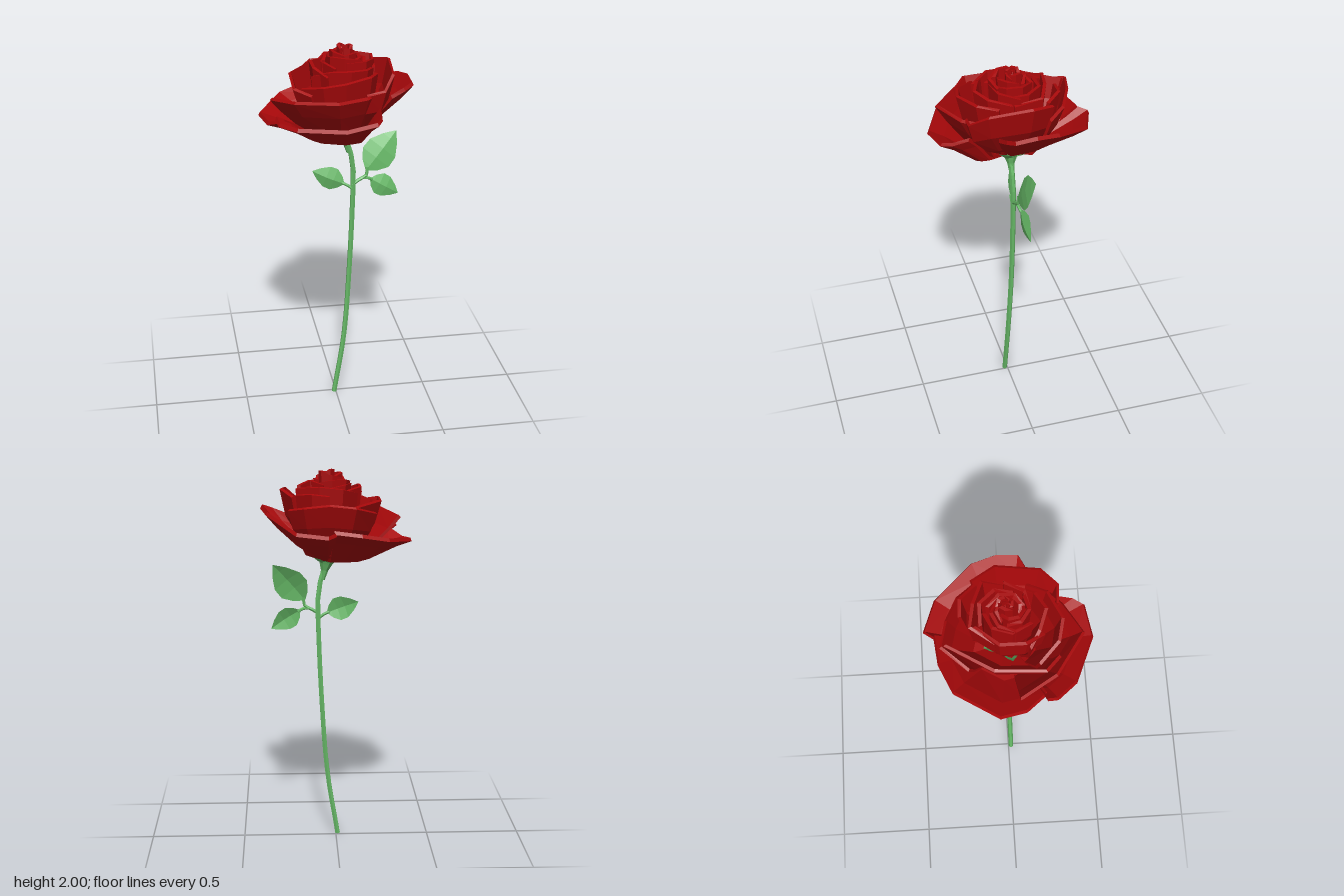
import * as THREE from 'three';

const red = new THREE.MeshStandardMaterial({ color: 0xa8080a, flatShading: true, side: THREE.DoubleSide });
const green = new THREE.MeshStandardMaterial({ color: 0x66b866, flatShading: true, side: THREE.DoubleSide });
const V = (x, y, z) => new THREE.Vector3(x, y, z);
const heart = V(0.05, 1.52, 0); // where all petals meet

function meshFrom(name, points, index, material) {
  const g = new THREE.BufferGeometry().setFromPoints(points);
  g.setIndex(index);
  g.computeVertexNormals();
  const m = new THREE.Mesh(g, material);
  m.name = name;
  return m;
}

// Thick petal: each rim point is joined to the heart by a bowed rib, ribs are skinned into a shell.
// open = 1 lies flat with a rolled rim, open = 0 stands upright like a cup; lift raises the belly.
function petal(name, rim, open, lift = 0.12) {
  const turn = rim.slice(1).reduce((s, p, i) =>
    s + (rim[i][0] - heart.x) * p[2] - rim[i][2] * (p[0] - heart.x), 0);
  const ordered = turn < 0 ? [...rim].reverse() : rim;
  const mix = THREE.MathUtils.lerp;
  const out = [0.08, mix(0.6, 0.5, open), mix(0.92, 0.82, open), 1];
  const up = [0, mix(0.2, lift, open), mix(0.58, 0.74, open), 1];
  const points = [], index = [], n = 8;
  for (const [x, y, z] of ordered) {
    const dx = x - heart.x, dy = y - heart.y, r = Math.hypot(dx, z);
    const thin = 1 - Math.min(0.4, 0.018 * (1 - 0.5 * open) / r);
    const outer = out.map((f, k) => V(heart.x + dx * f, heart.y + dy * up[k], z * f));
    const inner = out.map((f, k) => V(heart.x + dx * f * thin, heart.y + dy * up[k] + 0.018 * open, z * f * thin));
    points.push(...outer, ...inner.reverse());
  }
  const quad = (a, b, c, d) => index.push(a, b, c, a, c, d);
  for (let i = 0; i < ordered.length - 1; i++)
    for (let j = 0; j < n; j++) {
      const k = (j + 1) % n;
      quad(i * n + j, i * n + k, i * n + n + k, i * n + n + j);
    }
  const last = (ordered.length - 1) * n;
  for (let j = 0; j < 3; j++) {
    quad(7 - j, 6 - j, j + 1, j);
    quad(last + j, last + j + 1, last + 6 - j, last + 7 - j);
  }
  return meshFrom(name, points, index, red);
}

// Leaf: pointed oval from base to tip, folded along its midrib
function leaf(name, base, tip, width, normal) {
  const along = tip.clone().sub(base);
  const side = along.clone().normalize().cross(normal.clone().normalize());
  const points = [], index = [];
  const shape = [[0, 0.08], [0.12, 0.55], [0.32, 0.98], [0.55, 0.95], [0.8, 0.52], [1, 0.02]];
  shape.forEach(([t, w], i) => {
    const mid = base.clone().addScaledVector(along, t);
    mid.addScaledVector(normal, 0.012 * Math.sin(t * Math.PI));
    for (const s of [-1, 0, 1]) {
      const p = mid.clone().addScaledVector(side, s * w * width / 2);
      points.push(s ? p.addScaledVector(normal, -0.016 * w) : p);
    }
    if (i) for (const s of [0, 1]) {
      const a = i * 3 - 3 + s;
      index.push(a, a + 1, a + 4, a, a + 4, a + 3);
    }
  });
  return meshFrom(name, points, index, green);
}

function tube(name, pts, radius, segments) {
  const curve = new THREE.CatmullRomCurve3(pts.map(p => V(...p)));
  const m = new THREE.Mesh(new THREE.TubeGeometry(curve, segments, radius, 6), green);
  m.name = name;
  return m;
}

export function createModel() {
  const model = new THREE.Group();
  model.name = 'rose';

  // Stem with a closed foot
  model.add(tube('stem', [[-0.01, 0, 0.015], [0.045, 0.35, 0.01], [0.075, 0.75, 0], [0.092, 1.15, -0.003],
    [0.094, 1.33, -0.003], [0.075, 1.44, 0], [0.055, 1.5, 0]], 0.014, 16));
  const foot = new THREE.Mesh(new THREE.CircleGeometry(0.014, 6), green);
  foot.name = 'stemFoot';
  foot.rotation.x = Math.PI / 2;
  foot.position.set(-0.01, 0.001, 0.015);
  model.add(foot);

  // Flared cup under the bloom
  const cup = new THREE.Mesh(new THREE.LatheGeometry(
    [[0.012, -0.1], [0.02, -0.05], [0.034, -0.015], [0.045, 0.008], [0, 0.01]].map(p => new THREE.Vector2(...p)), 7), green);
  cup.name = 'receptacle';
  cup.position.copy(heart);
  cup.rotation.z = 0.2;
  model.add(cup);

  // Sepals spreading below the petals
  for (let i = 0; i < 5; i++) {
    const a = i * Math.PI * 0.4 + 0.5, c = Math.cos(a), s = Math.sin(a);
    model.add(leaf('sepal', V(heart.x + 0.022 * c, 1.508, 0.022 * s),
      V(heart.x + 0.135 * c, 1.595, 0.135 * s), 0.085, V(0.5 * c, -0.8, 0.5 * s)));
  }

  // Leaves and their stalks
  model.add(
    tube('leafStalk', [[0.09, 1.215, 0], [0.065, 1.235, -0.003], [0.035, 1.25, -0.006]], 0.008, 4),
    tube('leafStalk', [[0.09, 1.24, 0], [0.13, 1.265, -0.005], [0.165, 1.285, -0.007], [0.17, 1.33, -0.01]], 0.009, 6),
    tube('leafStalk', [[0.14, 1.272, -0.006], [0.175, 1.268, -0.01], [0.2, 1.255, -0.015]], 0.008, 4),
    leaf('leftLeaf', V(0.045, 1.245, -0.005), V(-0.115, 1.31, -0.045), 0.125, V(-0.28, 0.05, 1)),
    leaf('upperLeaf', V(0.165, 1.315, -0.005), V(0.33, 1.508, -0.05), 0.175, V(-0.05, 0.3, 1)),
    leaf('lowerLeaf', V(0.19, 1.26, -0.015), V(0.34, 1.165, -0.025), 0.12, V(0.1, 0.15, 1)));

  // Wide outer petals
  model.add(
    petal('outerPetalLeft', [[-0.29, 1.66, 0.17], [-0.36, 1.62, 0.07], [-0.39, 1.63, -0.06], [-0.26, 1.66, -0.28],
      [-0.12, 1.69, -0.345], [0.02, 1.71, -0.36]], 1),
    petal('outerPetalRight', [[0.01, 1.7, -0.36], [0.05, 1.69, -0.41], [0.21, 1.7, -0.35], [0.36, 1.78, -0.16], [0.39, 1.8, -0.04],
      [0.39, 1.79, 0.07], [0.34, 1.77, 0.1], [0.27, 1.74, 0.12]], 1, 0.36),
    petal('outerPetalFront', [[-0.33, 1.68, 0.17], [-0.32, 1.66, 0.22], [-0.24, 1.66, 0.315], [-0.01, 1.67, 0.41],
      [0.15, 1.69, 0.38], [0.18, 1.7, 0.33], [0.19, 1.72, 0.25]], 1));

  // Middle petals, half open
  model.add(
    petal('middlePetalFront', [[-0.34, 1.74, 0.04], [-0.24, 1.77, 0.22], [-0.04, 1.8, 0.36], [0.12, 1.79, 0.27],
      [0.19, 1.8, 0.2]], 0.7),
    petal('middlePetalRight', [[0.12, 1.8, 0.25], [0.21, 1.82, 0.255], [0.27, 1.88, 0.17], [0.29, 1.9, -0.05],
      [0.23, 1.87, -0.17]], 0.4, 0.45),
    petal('middlePetalBack', [[0.25, 1.8, -0.15], [0.17, 1.82, -0.24], [0.04, 1.84, -0.3], [-0.09, 1.83, -0.33],
      [-0.2, 1.79, -0.2]], 0.5),
    petal('middlePetalLeft', [[-0.08, 1.83, -0.31], [-0.23, 1.84, -0.08], [-0.24, 1.83, 0.17], [-0.16, 1.81, 0.24]], 0.4),
    petal('middlePetalInnerFront', [[-0.2, 1.82, 0.14], [-0.1, 1.85, 0.24], [0.01, 1.87, 0.265], [0.15, 1.88, 0.2],
      [0.2, 1.87, 0.1]], 0.3));

  // Upright inner petals
  model.add(
    petal('innerPetalOuterBack', [[0.04, 1.88, -0.235], [0.13, 1.89, -0.23], [0.21, 1.88, -0.15]], 0.2),
    petal('innerPetalBack', [[0.2, 1.88, 0.02], [0.21, 1.91, -0.12], [0.09, 1.92, -0.17], [-0.03, 1.91, -0.19],
      [-0.11, 1.88, -0.07]], 0.15),
    petal('innerPetalLeft', [[-0.02, 1.89, -0.17], [-0.13, 1.91, -0.05], [-0.13, 1.91, 0.08], [-0.07, 1.88, 0.17]], 0.15),
    petal('innerPetalFront', [[-0.14, 1.87, 0.1], [-0.06, 1.9, 0.15], [0.05, 1.91, 0.19], [0.14, 1.9, 0.14],
      [0.19, 1.88, 0.03]], 0.15));

  // Tight spiral of bud petals rising to the centre
  [[0.13, 1.93], [0.1, 1.955], [0.07, 1.978], [0.042, 1.998], [0.02, 1.985]].forEach(([r, y], ring) => {
    const shift = 0.012 * Math.cos(ring * 2);
    for (let k = 0; k < 3; k++) {
      const rim = [0, 1, 2, 3].map(i => {
        const a = ring * 0.8 + (k + i * 0.4) * Math.PI * 2 / 3, q = r * (1.14 - 0.1 * i);
        return [heart.x - 0.01 + shift + q * Math.cos(a), y - 0.008 * k - (i % 3 ? 0 : 0.015), q * Math.sin(a) - shift];
      });
      model.add(petal('budPetal', rim, 0));
    }
  });
  return model;
}
